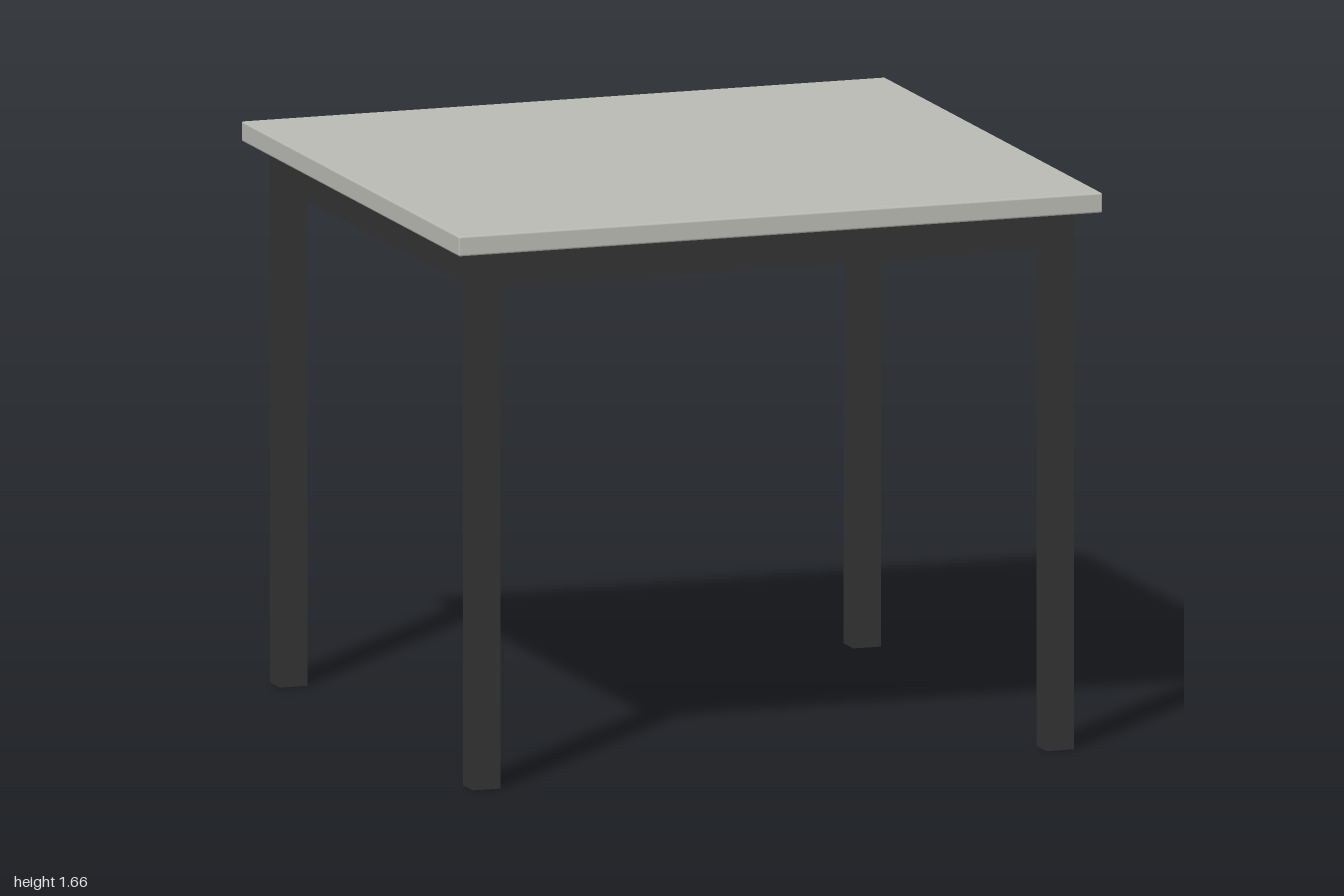
import * as THREE from 'three';
import { RoundedBoxGeometry } from 'three/addons/geometries/RoundedBoxGeometry.js';

export function createModel() {
  const table = new THREE.Group();
  table.name = 'table';

  const topMaterial = new THREE.MeshStandardMaterial({ color: 0xb9b9b3 });
  topMaterial.name = 'warm grey laminate';
  const frameMaterial = new THREE.MeshStandardMaterial({ color: 0x333333 });
  frameMaterial.name = 'charcoal metal';

  const topWidth = 2, topDepth = 1.885, topThickness = 0.06;
  const frameTop = 1.605;                  // underside of the tabletop
  const outerX = 0.934, outerZ = 0.88;     // outer faces of the frame
  const tube = 0.086;                      // leg and rail thickness
  const railHeight = 0.112;
  const cx = outerX - tube / 2, cz = outerZ - tube / 2;

  function add(name, geometry, material, x, y, z) {
    const mesh = new THREE.Mesh(geometry, material);
    mesh.name = name;
    mesh.position.set(x, y, z);
    table.add(mesh);
  }

  // Tabletop with slightly eased edges
  add('tabletop', new RoundedBoxGeometry(topWidth, topThickness, topDepth, 2, 0.006),
    topMaterial, 0, frameTop + topThickness / 2, 0);

  // Square legs at the four corners
  const legGeometry = new THREE.BoxGeometry(tube, frameTop, tube);
  for (const [sx, side] of [[1, 'Left'], [-1, 'Right']]) {
    for (const [sz, end] of [[1, 'front'], [-1, 'back']]) {
      add(`${end}${side}Leg`, legGeometry, frameMaterial, sx * cx, frameTop / 2, sz * cz);
    }
  }

  // Rails between the legs, flush with their outer faces
  const railY = frameTop - railHeight / 2;
  const longRail = new THREE.BoxGeometry(2 * (outerX - tube), railHeight, tube);
  const sideRail = new THREE.BoxGeometry(tube, railHeight, 2 * (outerZ - tube));
  add('frontRail', longRail, frameMaterial, 0, railY, cz);
  add('backRail', longRail, frameMaterial, 0, railY, -cz);
  add('leftRail', sideRail, frameMaterial, cx, railY, 0);
  add('rightRail', sideRail, frameMaterial, -cx, railY, 0);

  return table;
}
